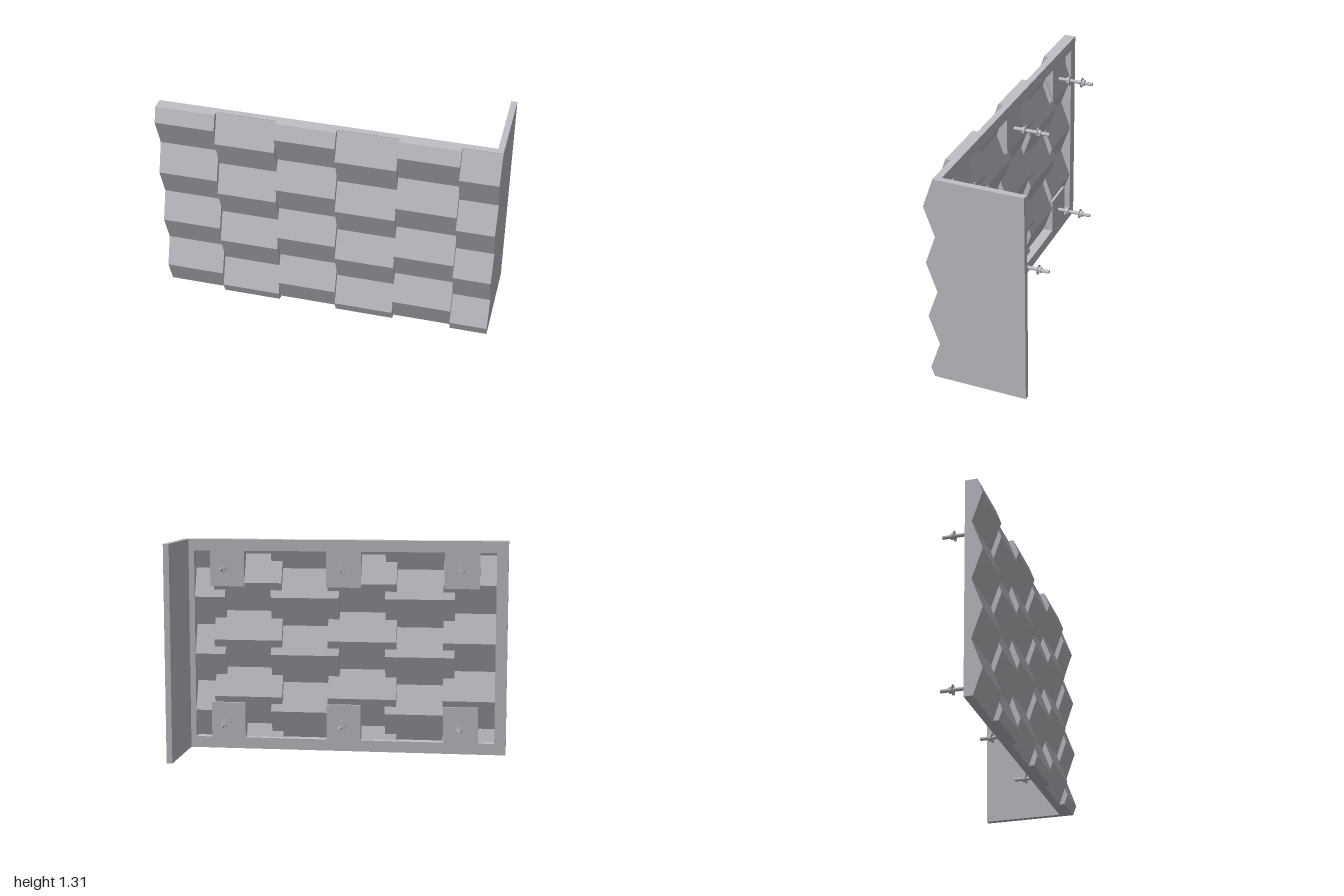
import * as THREE from 'three';

const H = 1.308, BACK = 0.19, RIDGE = 0.293, VALLEY = 0.23;
const PITCH = 0.356, HALF = PITCH / 2, WALL = 0.035;
const COLS = [-1, -0.645, -0.29, 0.065, 0.42, 0.775, 1];
const PHASE = [0.15, 0.06];               // lowest ridge height of even / odd columns
const OPEN_X = 0.93, BORDER = 0.07, TAB_H = 0.29, TAB_W = 0.107;
const STUD_X = [-0.723, 0, 0.723], STUD_Y = [0.175, H - 0.175];

// depth of the pleated face at height y
function pleat(type, y) {
  const d = Math.abs(y - PHASE[type] - PITCH * Math.round((y - PHASE[type]) / PITCH));
  return RIDGE - (RIDGE - VALLEY) * d / HALF;
}

// sorted heights of the folds between lo and hi, for the given phases
function folds(lo, hi, phases) {
  const ys = [lo, hi];
  for (const p of phases)
    for (let k = -2; k < 9; k++) {
      const y = p + k * HALF;
      if (y > lo + 0.001 && y < hi - 0.001) ys.push(y);
    }
  return ys.sort((a, b) => a - b);
}

// one vertical slice of the hollow panel, extruded along x
function slice(x0, x1, type, innerTypes, edge) {
  const pts = folds(0, H, [PHASE[type]]).map(y => [pleat(type, y), y]);
  pts.push([BACK, H]);
  if (edge !== null) {
    const phases = innerTypes.map(t => PHASE[t]);
    if (phases.length > 1) phases.push((PHASE[0] + PHASE[1]) / 2);
    pts.push([BACK, H - edge]);
    for (const y of folds(edge, H - edge, phases).reverse())
      pts.push([Math.min(...innerTypes.map(t => pleat(t, y))) - WALL * 1.06, y]);
    pts.push([BACK, edge]);
  }
  pts.push([BACK, 0]);
  const shape = new THREE.Shape(pts.map(([z, y]) => new THREE.Vector2(-z, y)));
  const geo = new THREE.ExtrudeGeometry(shape, { depth: x1 - x0, bevelEnabled: false });
  return geo.rotateY(Math.PI / 2).translate(x0, 0, 0);
}

export function createModel() {
  const model = new THREE.Group();
  model.name = 'pleatedPanel';
  const grey = new THREE.MeshStandardMaterial({ color: 0xc0c1c7 });
  grey.name = 'light grey';
  const add = (parent, name, geo) => {
    const mesh = new THREE.Mesh(geo, grey);
    mesh.name = name;
    parent.add(mesh);
    return mesh;
  };

  // hollow pleated front with rear frame and mounting tabs
  const panel = new THREE.Group();
  panel.name = 'frontPanel';
  model.add(panel);
  const steps = COLS.slice(1, -1);
  const cuts = [...COLS, -OPEN_X, OPEN_X];
  for (const b of steps) cuts.push(b - WALL, b + WALL);
  for (const s of STUD_X) cuts.push(s - TAB_W, s + TAB_W);
  cuts.sort((a, b) => a - b);
  for (let i = 0; i < cuts.length - 1; i++) {
    const [x0, x1] = [cuts[i], cuts[i + 1]];
    if (x1 - x0 < 1e-4) continue;
    const mid = (x0 + x1) / 2;
    const type = steps.filter(b => b < mid).length % 2;
    const nearStep = steps.some(b => Math.abs(mid - b) < WALL);
    const inTab = STUD_X.some(s => Math.abs(mid - s) < TAB_W);
    const edge = Math.abs(mid) > OPEN_X ? null : inTab ? TAB_H : BORDER;
    add(panel, 'panelSlice', slice(x0, x1, type, nearStep ? [0, 1] : [type], edge));
  }

  // return wall on the left side
  const depth = BACK + RIDGE;
  add(model, 'sideWall', new THREE.BoxGeometry(WALL, H, depth))
    .position.set(1 - WALL / 2, H / 2, BACK - depth / 2);

  // threaded studs, each with two nuts and washers
  const rod = (r, z0, z1, sides) =>
    new THREE.CylinderGeometry(r, r, z1 - z0, sides).rotateX(Math.PI / 2).translate(0, 0, (z0 + z1) / 2);
  const nut = (z0, z1) => {
    const geo = rod(0.021, z0, z1, 6).toNonIndexed();
    geo.computeVertexNormals();
    return geo;
  };
  for (const x of STUD_X)
    for (const y of STUD_Y) {
      const stud = new THREE.Group();
      stud.name = 'mountingStud';
      stud.position.set(x, y, 0);
      model.add(stud);
      add(stud, 'rod', rod(0.011, -0.033, BACK + 0.005, 20));
      add(stud, 'outerNut', nut(0.018, 0.036));
      add(stud, 'outerWasher', rod(0.031, 0.036, 0.041, 24));
      add(stud, 'innerWasher', rod(0.031, 0.114, 0.119, 24));
      add(stud, 'innerNut', nut(0.119, 0.137));
    }
  return model;
}
